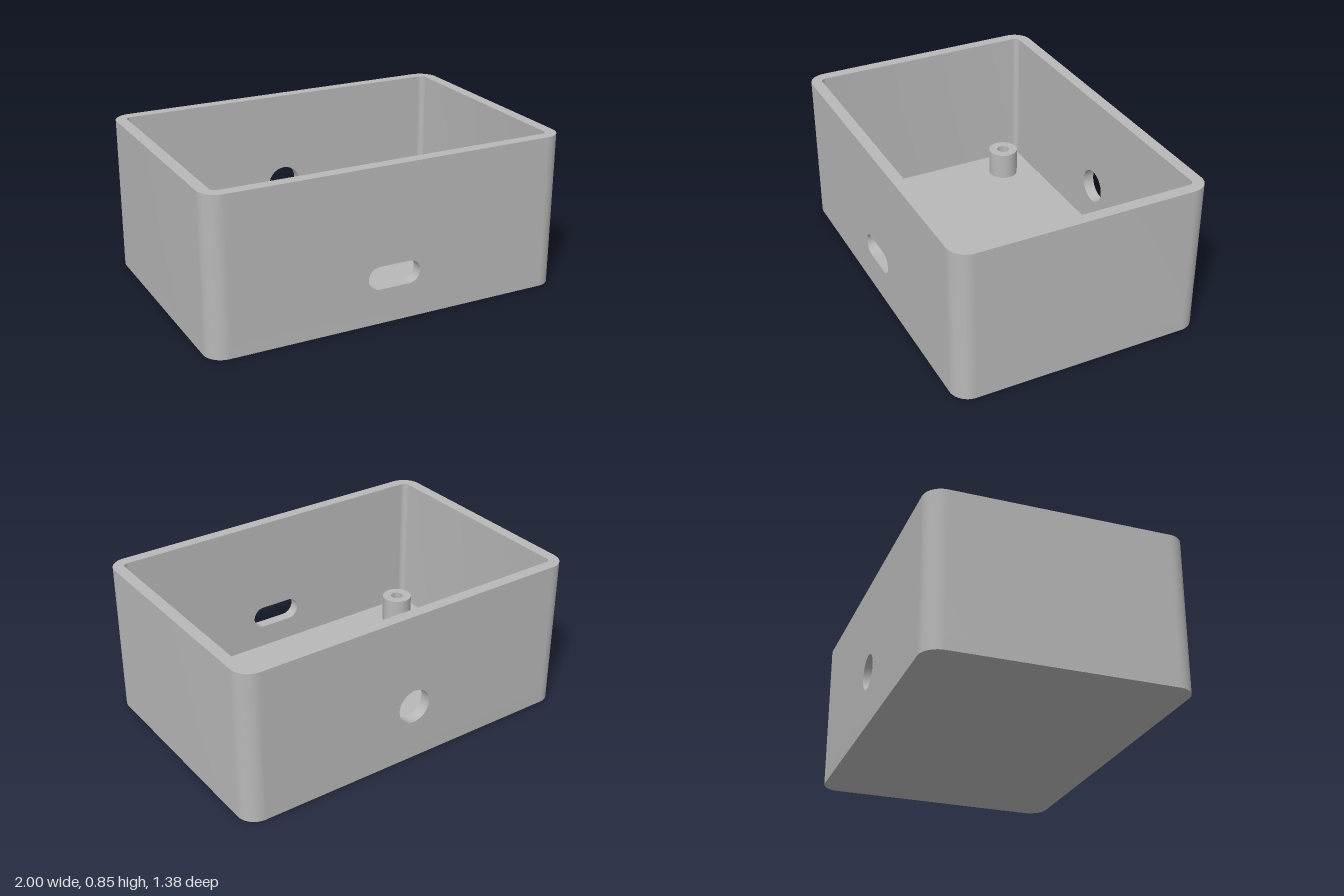
import * as THREE from 'three';
import { toCreasedNormals } from 'three/addons/utils/BufferGeometryUtils.js';

const HX = 1, HZ = 0.6875, H = 0.845;      // outer half sizes and height
const WALL = 0.0625, FLOOR = 0.0625;
const R_OUT = 0.1, R_IN = 0.03;            // corner radii
const PANEL = HX - R_OUT;                  // half length of the straight wall panels

const extrude = (shape, depth) => toCreasedNormals(
  new THREE.ExtrudeGeometry(shape, { depth, bevelEnabled: false, curveSegments: 14 }), 0.6);

// Extrude a plan shape (x, -z) upwards from height y
const extrudeUp = (shape, depth, y) => extrude(shape, depth).rotateX(-Math.PI / 2).translate(0, y, 0);

const circle = (Type, x, y, r) => new Type().absarc(x, y, r, 0, Math.PI * 2, false);

function roundedRect(hx, hz, r) {
  const s = new THREE.Shape();
  s.absarc(hx - r, hz - r, r, 0, Math.PI / 2);
  s.absarc(-hx + r, hz - r, r, Math.PI / 2, Math.PI);
  s.absarc(-hx + r, -hz + r, r, Math.PI, Math.PI * 1.5);
  s.absarc(hx - r, -hz + r, r, Math.PI * 1.5, Math.PI * 2);
  s.closePath();
  return s;
}

// Straight wall between the rounded ends, pierced by one opening
function panelGeometry(hole) {
  const s = new THREE.Shape();
  s.moveTo(-PANEL, FLOOR).lineTo(PANEL, FLOOR).lineTo(PANEL, H).lineTo(-PANEL, H).closePath();
  s.holes.push(hole);
  return extrude(s, WALL).translate(0, 0, HZ - WALL);
}

// End wall with both rounded corners
function endGeometry() {
  const s = new THREE.Shape(), ix = HX - WALL - R_IN, iz = HZ - WALL;
  s.moveTo(PANEL, -HZ);
  s.absarc(PANEL, -HZ + R_OUT, R_OUT, -Math.PI / 2, 0, false);
  s.absarc(PANEL, HZ - R_OUT, R_OUT, 0, Math.PI / 2, false);
  s.lineTo(PANEL, iz);
  s.absarc(ix, iz - R_IN, R_IN, Math.PI / 2, 0, true);
  s.absarc(ix, -iz + R_IN, R_IN, 0, -Math.PI / 2, true);
  s.lineTo(PANEL, -iz);
  s.closePath();
  return extrudeUp(s, H - FLOOR, FLOOR);
}

export function createModel() {
  const group = new THREE.Group();
  const grey = new THREE.MeshStandardMaterial({ color: 0xb8b8b8 });
  grey.name = 'grey plastic';
  const add = (name, geometry) => {
    const mesh = new THREE.Mesh(geometry, grey);
    mesh.name = name;
    group.add(mesh);
    return mesh;
  };

  add('floor', extrudeUp(roundedRect(HX, HZ, R_OUT), FLOOR, 0));

  // Front wall with the connector slot
  const slot = new THREE.Path(), sr = 0.0625, sx = 0.148 - sr, sy = 0.252;
  slot.absarc(sx, sy, sr, -Math.PI / 2, Math.PI / 2, false);
  slot.absarc(-sx, sy, sr, Math.PI / 2, Math.PI * 1.5, false);
  slot.closePath();
  add('frontWall', panelGeometry(slot));

  // Back wall with the round cable hole
  add('backWall', panelGeometry(circle(THREE.Path, 0, 0.314, 0.095))).rotation.y = Math.PI;

  add('leftWall', endGeometry());
  add('rightWall', endGeometry()).rotation.y = Math.PI;

  // Four hollow mounting posts
  const ring = circle(THREE.Shape, 0, 0, 0.085);
  ring.holes.push(circle(THREE.Path, 0, 0, 0.035));
  const post = extrudeUp(ring, 0.156, FLOOR);
  for (const x of [-0.75, 0.75]) {
    for (const z of [-0.4375, 0.4375]) add('mountingPost', post).position.set(x, 0, z);
  }
  return group;
}
